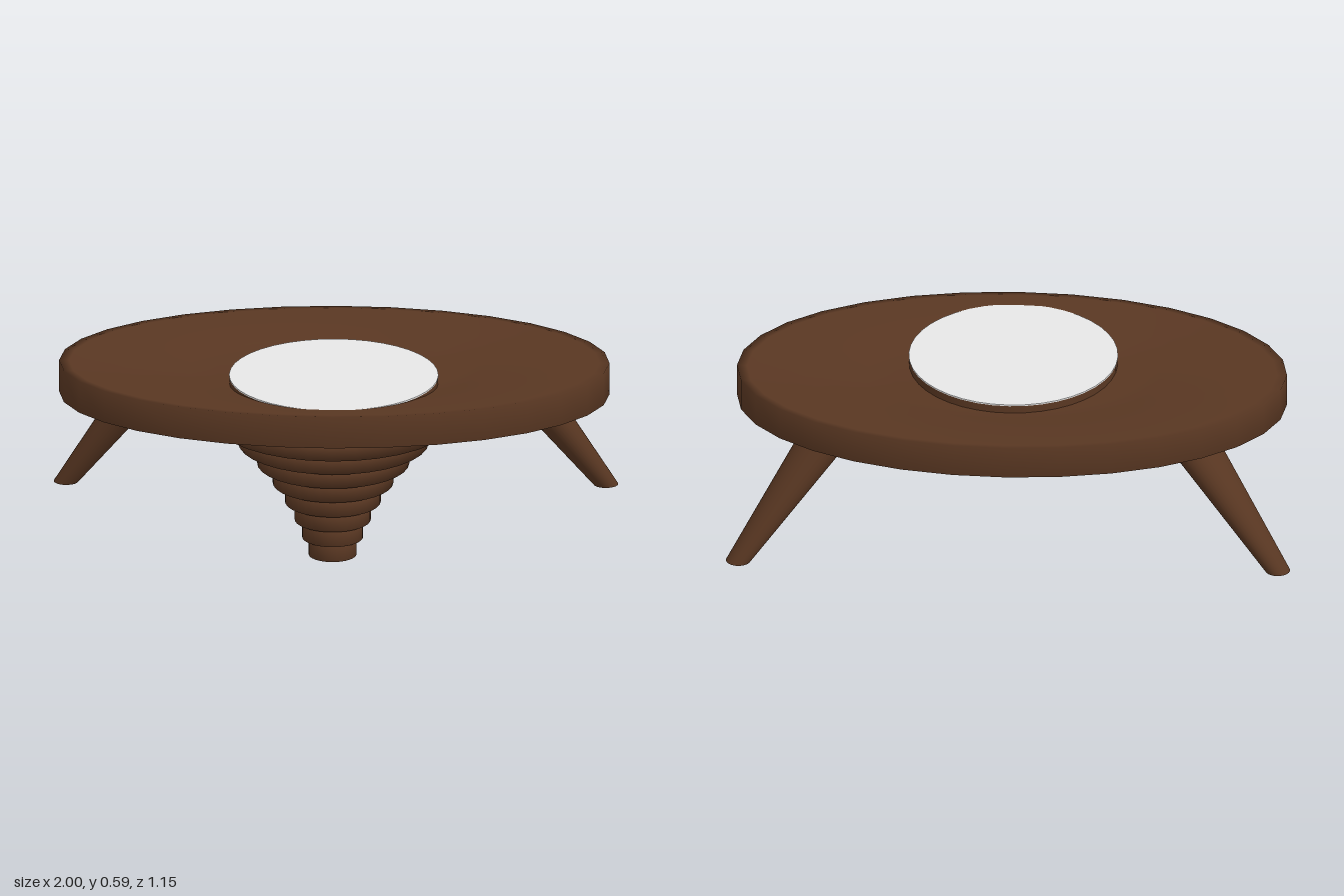
import * as THREE from 'three';
import { mergeVertices } from 'three/addons/utils/BufferGeometryUtils.js';

const brown = new THREE.MeshStandardMaterial({ color: 0x593722 });
brown.name = 'dark wood';
const grey = new THREE.MeshStandardMaterial({ color: 0xe8e8e8 });
grey.name = 'pale inlay';

const STEP = 0.0588; // height of one tier
const TOP_Y = 0.47;  // underside of the table top
const RIM = 0.975;   // half width of the table top

function add(group, name, geometry, material, x = 0, y = 0, z = 0) {
  const mesh = new THREE.Mesh(geometry, material);
  mesh.name = name;
  mesh.position.set(x, y, z);
  group.add(mesh);
  return mesh;
}

function lathe(points) {
  return new THREE.LatheGeometry(points.map(([r, y]) => new THREE.Vector2(r, y)), 32);
}

// Solid round body, square in profile but softly shaded over its edges
function softCylinder(bottom, top, h) {
  return lathe([[0, 0], [bottom * 0.8, 0], [bottom, 0], [top, h], [top * 0.8, h], [0, h]]);
}

// Tapered leg, sheared so that both ends stay level
function legGeometry(side) {
  let geo = softCylinder(0.044, 0.099, 0.49);
  const p = geo.attributes.position;
  for (let i = 0; i < p.count; i++) {
    const t = p.getY(i) / TOP_Y;
    p.setX(i, p.getX(i) + side * (0.956 - 0.323 * t));
    p.setZ(i, p.getZ(i) - 0.364 + 0.124 * t);
  }
  geo.deleteAttribute('normal');
  geo.deleteAttribute('uv');
  geo = mergeVertices(geo, 1e-5);
  geo.computeVertexNormals();
  return geo;
}

export function createModel() {
  const model = new THREE.Group();
  model.name = 'table';

  // Oval top: flat underside, upright edge, surface dipping gently to the middle
  const top = lathe([
    [0, TOP_Y], [0.94, TOP_Y], [RIM, TOP_Y], [RIM, 0.588], [0.94, 0.587],
    [0.8, 0.582], [0.65, 0.573], [0.52, 0.56], [0.42, 0.55], [0, 0.545],
  ]);
  add(model, 'tableTop', top, brown).scale.z = 0.575 / RIM;

  // Round plinth rising from the dip, with the pale inlay on it
  add(model, 'inlayPlinth', new THREE.CylinderGeometry(0.37, 0.37, 0.04, 40), brown, 0, 0.558, 0.123);
  add(model, 'inlay', new THREE.CylinderGeometry(0.371, 0.371, 0.005, 40), grey, 0, 0.5805, 0.123);

  // Stepped pedestal: [radius, z centre] from the floor upwards
  const pedestal = new THREE.Group();
  pedestal.name = 'steppedPedestal';
  [
    [0.085, 0.377], [0.108, 0.36], [0.135, 0.34], [0.17, 0.314],
    [0.214, 0.28], [0.27, 0.239], [0.338, 0.188], [0.428, 0.122],
  ].forEach(([r, z], i) => {
    add(pedestal, 'pedestalTier' + (i + 1), softCylinder(r, r, STEP), brown, 0, i * STEP, z);
  });
  model.add(pedestal);

  // Two splayed back legs
  add(model, 'leftLeg', legGeometry(1), brown);
  add(model, 'rightLeg', legGeometry(-1), brown);

  return model;
}
